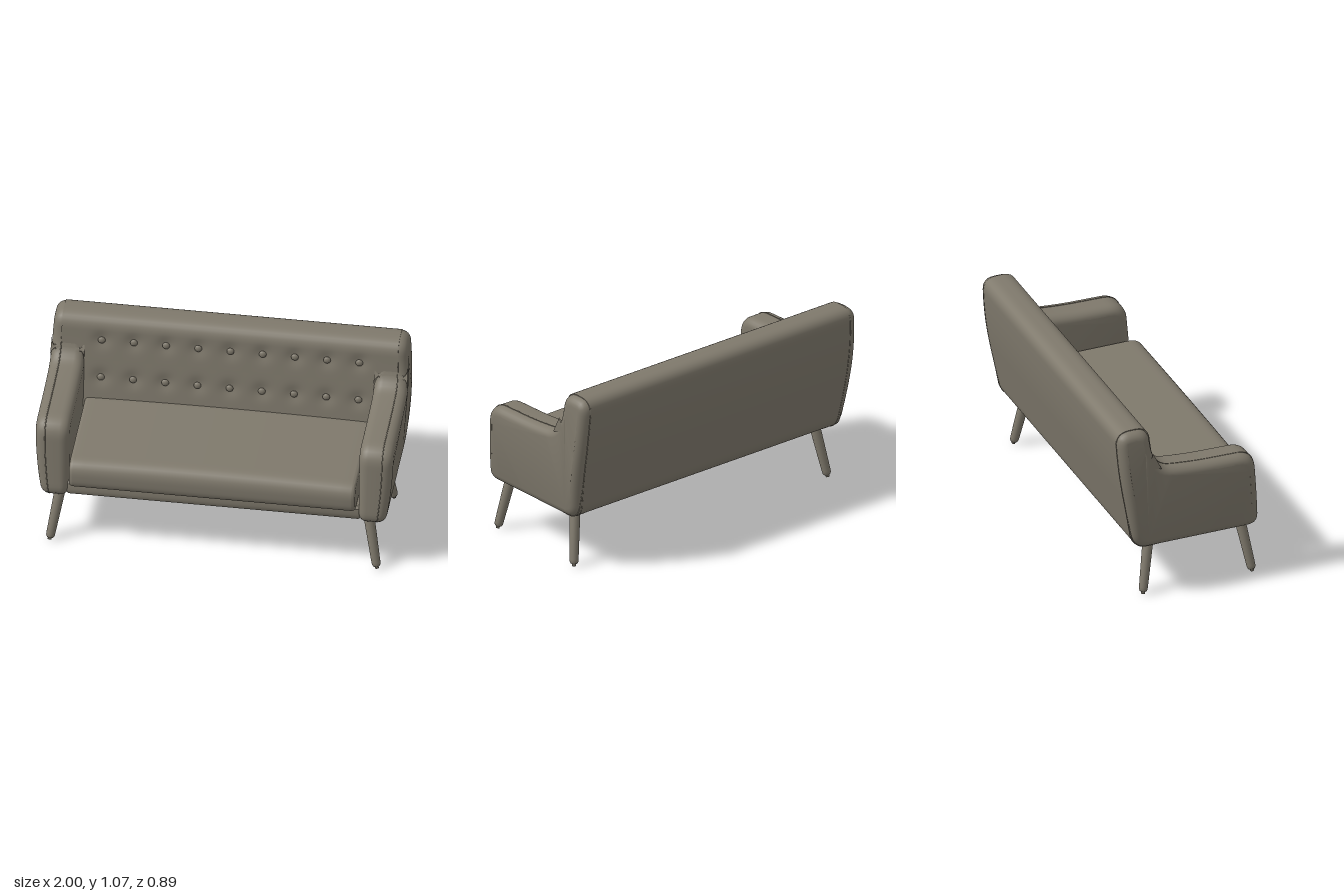
import * as THREE from 'three';
import { toCreasedNormals } from 'three/addons/utils/BufferGeometryUtils.js';

const fabric = new THREE.MeshStandardMaterial({ color: 0x7f796c });
fabric.name = 'taupe fabric';

// Closed side profile from [z, y, corner radius] points, evenly resampled
function profile(corners, samples) {
  const v = corners.map(([z, y]) => new THREE.Vector2(-z, y));
  const n = v.length;
  const shape = new THREE.Shape();
  const toward = (a, b, r) => a.clone().add(b.clone().sub(a).setLength(r));
  corners.forEach(([, , r], i) => {
    const start = toward(v[i], v[(i + n - 1) % n], r);
    const end = toward(v[i], v[(i + 1) % n], r);
    if (i === 0) shape.moveTo(start.x, start.y);
    else shape.lineTo(start.x, start.y);
    shape.quadraticCurveTo(v[i].x, v[i].y, end.x, end.y);
  });
  shape.closePath();
  return shape.getSpacedPoints(samples).slice(0, -1);
}

// Extrude a profile along x, centred on x = 0, with optional soft ends
function extrudeX(points, width, steps, bevel = 0) {
  const geo = new THREE.ExtrudeGeometry(new THREE.Shape(points), {
    depth: width - 2 * bevel, steps, bevelEnabled: bevel > 0,
    bevelThickness: bevel, bevelSize: bevel * 0.85, bevelOffset: -bevel * 0.85, bevelSegments: 6,
  });
  return geo.translate(0, 0, -(width - 2 * bevel) / 2).rotateY(Math.PI / 2);
}

// Move every vertex by a rule
function warp(geo, rule) {
  const pos = geo.attributes.position;
  const p = new THREE.Vector3();
  for (let i = 0; i < pos.count; i++) {
    p.fromBufferAttribute(pos, i);
    rule(p);
    pos.setXYZ(i, p.x, p.y, p.z);
  }
  return geo;
}

export function createModel() {
  const model = new THREE.Group();
  model.name = 'sofa';
  const add = (name, geo, parent = model) => {
    const mesh = new THREE.Mesh(geo, fabric);
    mesh.name = name;
    parent.add(mesh);
    return mesh;
  };
  const soft = (geo) => toCreasedNormals(geo, 0.6);

  // Arms with rising wings, outer face tapering in at the bottom and top
  const armPoints = profile([
    [0.41, 0.31, 0.07], [0.37, 0.79, 0.1], [0, 0.797, 0.12], [-0.2, 0.82, 0.07],
    [-0.245, 0.92, 0.06], [-0.262, 1.072, 0.075], [-0.45, 1.07, 0.08],
    [-0.432, 0.8, 0.15], [-0.34, 0.31, 0.09],
  ], 130);
  const taper = (y) => (y < 0.75 ? -0.04 * ((0.75 - y) / 0.44) ** 2 : -0.015 * ((y - 0.75) / 0.32) ** 2);
  for (const side of [1, -1]) {
    const place = (p) => {
      const outward = (side * p.x + 0.095) / 0.19;
      p.x = side * (0.905 + side * p.x + outward * taper(p.y));
    };
    const name = side > 0 ? 'left' : 'right';
    add(name + 'Arm', soft(warp(extrudeX(armPoints, 0.19, 2, 0.055), place)));

    // Fine piping around the outer edge of the arm
    const path = armPoints.map((q) => {
      const p = new THREE.Vector3(side * 0.038, q.y, -q.x);
      place(p);
      return p;
    });
    add(name + 'Piping', new THREE.TubeGeometry(new THREE.CatmullRomCurve3(path, true), 200, 0.003, 5, true));
  }

  // Button positions in two rows on the backrest
  const buttons = [];
  for (const [y, z] of [[0.705, -0.204], [0.935, -0.238]]) {
    for (let i = -4; i <= 4; i++) buttons.push(new THREE.Vector3(0.18 * i + 0.004, y, z));
  }

  // Backrest, padded in front and pulled in at every button
  const backPoints = profile([
    [-0.12, 0.32, 0.02], [-0.18, 0.55, 0.05], [-0.235, 0.9, 0.1], [-0.256, 1.076, 0.08],
    [-0.451, 1.073, 0.08], [-0.433, 0.8, 0.15], [-0.341, 0.31, 0.09],
  ], 110);
  const backGeo = warp(extrudeX(backPoints, 1.88, 110), (p) => {
    if (p.z < -0.3 || p.y < 0.5) return;
    for (const b of buttons) {
      const d2 = (p.x - b.x) ** 2 + (p.y - b.y) ** 2;
      p.z -= 0.014 * Math.exp(-d2 / 0.0022);
    }
  });
  add('backrest', soft(backGeo));

  const buttonGroup = new THREE.Group();
  buttonGroup.name = 'backButtons';
  model.add(buttonGroup);
  const buttonGeo = new THREE.SphereGeometry(0.021, 16, 10).scale(1, 1, 0.6);
  for (const b of buttons) {
    add('backButton', buttonGeo, buttonGroup).position.set(b.x, b.y, b.z - 0.006);
  }

  // Seat base rail and the panel underneath
  const basePoints = profile([
    [0.385, 0.32, 0.03], [0.385, 0.41, 0.03], [-0.3, 0.41, 0.02], [-0.3, 0.314, 0.02],
  ], 80);
  add('seatBase', soft(extrudeX(basePoints, 1.64, 1, 0.015)));
  const panel = new THREE.Shape(profile([
    [0.33, -0.8, 0.08], [0.33, 0.8, 0.08], [-0.22, 0.8, 0.08], [-0.22, -0.8, 0.08],
  ], 120));
  const panelGeo = new THREE.ExtrudeGeometry(panel, {
    depth: 0.012, bevelThickness: 0.004, bevelSize: 0.006, bevelOffset: -0.006, bevelSegments: 2,
  });
  panelGeo.rotateZ(Math.PI / 2).rotateX(-Math.PI / 2).rotateY(0);
  panelGeo.computeBoundingBox();
  const c = panelGeo.boundingBox.getCenter(new THREE.Vector3());
  panelGeo.translate(-c.x, 0.317 - c.y, 0.055 - c.z);
  add('undersidePanel', soft(panelGeo));

  // Seat cushion with a gently crowned top
  const cushionPoints = profile([
    [0.447, 0.405, 0.06], [0.447, 0.578, 0.085], [-0.2, 0.578, 0.03], [-0.2, 0.405, 0.03],
  ], 100);
  add('seatCushion', soft(warp(extrudeX(cushionPoints, 1.6, 24, 0.022), (p) => {
    if (p.y > 0.5) p.y += 0.01 * (1 - (p.x / 0.8) ** 2) * ((p.y - 0.5) / 0.08);
  })));

  // Splayed tapered legs, each ending in a small foot
  const legGeo = new THREE.LatheGeometry([
    [0, 0], [0.011, 0], [0.011, 0.014], [0.019, 0.015], [0.024, 0.025], [0.025, 0.04], [0.031, 0.35], [0, 0.35],
  ].map(([r, y]) => new THREE.Vector2(r, y)), 20);
  for (const side of [1, -1]) {
    for (const [name, zFoot, zTop] of [['frontLeg', 0.382, 0.325], ['backLeg', -0.276, -0.219]]) {
      const foot = new THREE.Vector3(side * 0.915, 0.003, zFoot);
      const top = new THREE.Vector3(side * 0.86, 0.335, zTop);
      const leg = add(name, legGeo);
      leg.position.copy(foot);
      leg.quaternion.setFromUnitVectors(new THREE.Vector3(0, 1, 0), top.sub(foot).normalize());
    }
  }
  return model;
}
